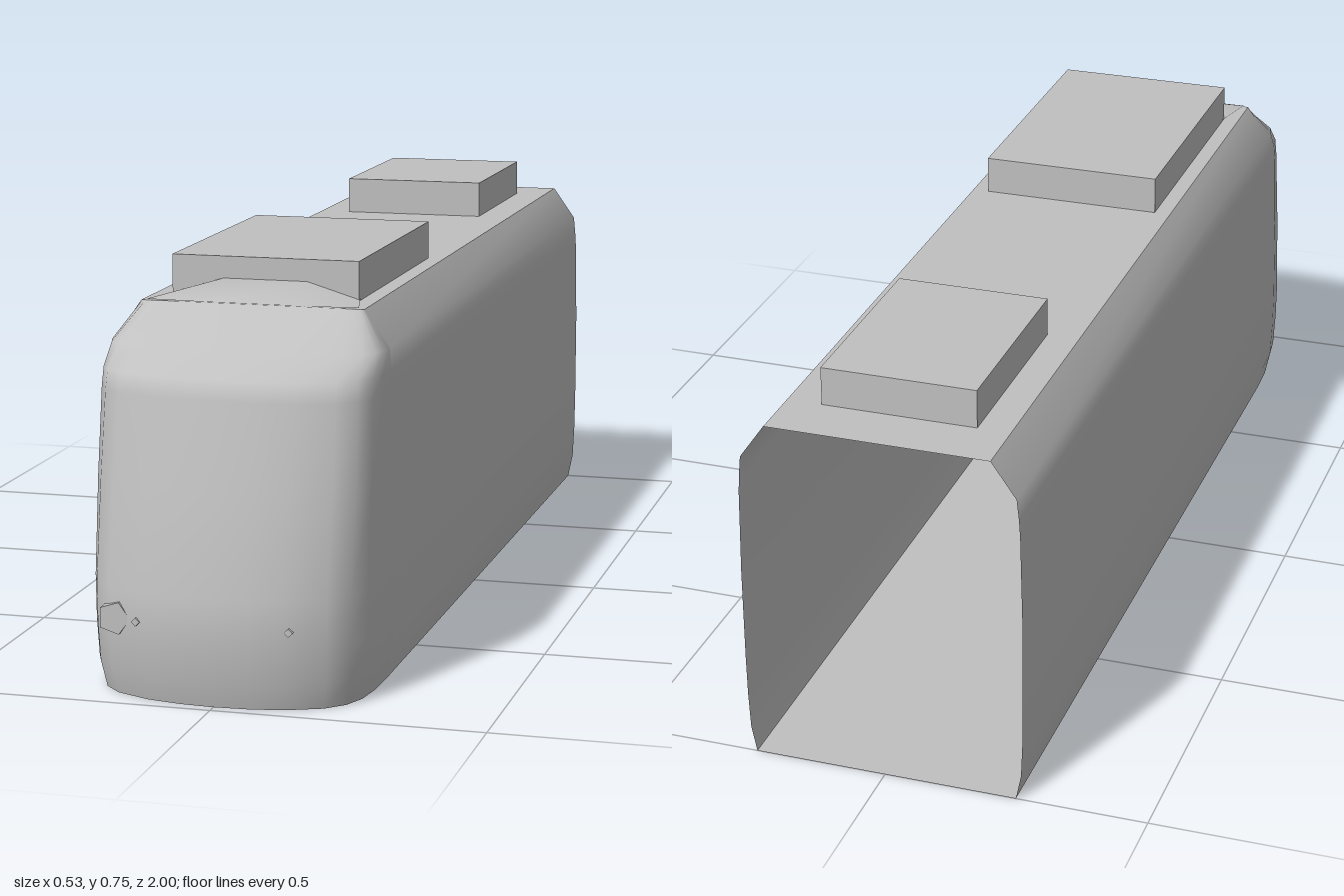
import * as THREE from 'three';

// Half-section of the shell: y, half width, and how far the nose reaches at that height
const LEVELS = [
  [0, 0.252, 0.98], [0.05, 0.262, 0.993], [0.12, 0.265, 1], [0.2, 0.266, 1], [0.38, 0.266, 0.958],
  [0.54, 0.263, 0.922], [0.575, 0.261, 0.91], [0.615, 0.257, 0.842], [0.682, 0.21, 0.73],
];
// Plan curve of the nose: fraction of half width, fraction of nose depth
const PLAN = [[1, 0], [0.99, 0.3], [0.96, 0.53], [0.89, 0.7], [0.76, 0.83], [0.5, 0.94], [0.25, 0.985]];
const CURVE = [...PLAN.map(([x, d]) => [-x, d]), [0, 1], ...PLAN.slice().reverse()];
const JOINT = 0.73, BACK = -1, ROOF = 0.682;

export function createModel() {
  const group = new THREE.Group();
  const grey = new THREE.MeshStandardMaterial({ color: 0xc0c0c0, side: THREE.DoubleSide });
  grey.name = 'plain grey';

  function add(name, geometry, x = 0, y = 0, z = 0) {
    const mesh = new THREE.Mesh(geometry, grey);
    mesh.name = name;
    mesh.position.set(x, y, z);
    group.add(mesh);
    return mesh;
  }

  // Surface from a grid of points; it faces (direction of i) x (direction of j)
  function sheet(nu, nv, point) {
    const positions = [], index = [];
    for (let j = 0; j < nv; j++) {
      for (let i = 0; i < nu; i++) {
        positions.push(...point(i, j));
        if (i < nu - 1 && j < nv - 1) {
          const a = j * nu + i, c = a + nu;
          index.push(a, a + 1, c + 1, a, c + 1, c);
        }
      }
    }
    const geometry = new THREE.BufferGeometry();
    geometry.setAttribute('position', new THREE.Float32BufferAttribute(positions, 3));
    geometry.setIndex(index);
    geometry.computeVertexNormals();
    return geometry;
  }

  // Rounded nose
  const nosePoint = (i, j) => {
    const [y, w, front] = LEVELS[j];
    return [CURVE[i][0] * w, y, JOINT + CURVE[i][1] * (front - JOINT)];
  };
  add('nose', sheet(CURVE.length, LEVELS.length, nosePoint));

  // Long side walls, curving into the roof; the back end stays open
  for (const side of [1, -1]) {
    add(side > 0 ? 'leftWall' : 'rightWall', sheet(2, LEVELS.length, (i, j) => {
      const atBack = side > 0 ? i === 1 : i === 0;
      return [side * LEVELS[j][1], LEVELS[j][0], atBack ? BACK : JOINT];
    }));
  }

  // Flat roof and floor
  add('roof', sheet(2, 2, (i, j) => [i ? 0.21 : -0.21, ROOF, j ? BACK : JOINT]));
  add('floor', sheet(CURVE.length, 2, (i, j) => {
    const p = nosePoint(i, 0);
    return j ? p : [p[0], 0, BACK];
  }));

  // Sloping fairing in front of the first roof unit
  const rows = [[JOINT, 0.2, 0.683], [0.645, 0.18, 0.714], [0.55, 0.17, 0.684]];
  add('roofFairing', sheet(4, 3, (i, j) => {
    const [z, w, top] = rows[j];
    return [[-w, -0.08, 0.08, w][i], i === 1 || i === 2 ? top : 0.684, z];
  }));

  // Roof units
  add('frontRoofUnit', new THREE.BoxGeometry(0.356, 0.073, 0.535), 0, 0.7185, 0.3775);
  add('rearRoofUnit', new THREE.BoxGeometry(0.292, 0.073, 0.395), -0.002, 0.7185, -0.6925);

  // Small lamps set into the nose
  function lamp(name, radius, sides, x, z) {
    const geometry = new THREE.CylinderGeometry(radius, radius, 0.03, sides).toNonIndexed();
    geometry.rotateX(Math.PI / 2);
    geometry.rotateZ(Math.PI / 2);
    geometry.computeVertexNormals();
    add(name, geometry, x, 0.147, z);
  }
  lamp('rightLamp', 0.031, 5, -0.188, 0.956);
  lamp('rightPin', 0.008, 4, -0.142, 0.971);
  lamp('leftPin', 0.008, 4, 0.14, 0.971);

  return group;
}
